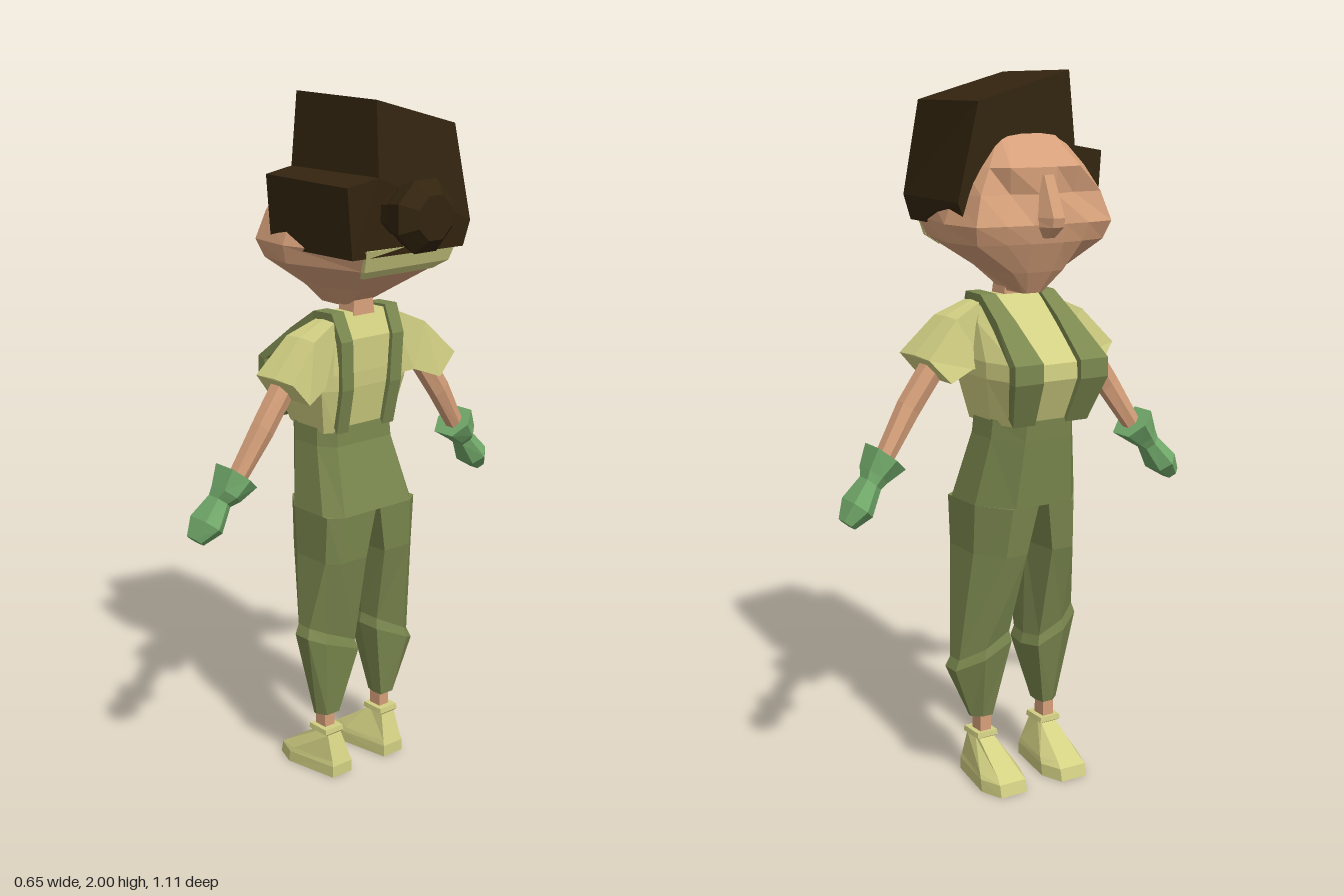
import * as THREE from 'three';

const mat = (name, color) => {
  const m = new THREE.MeshStandardMaterial({ color });
  m.name = name;
  return m;
};

// Faceted skin through rings of equal point count, closed at both ends.
function loft(name, material, rings) {
  const tris = [], n = rings[0].length;
  for (let r = 0; r < rings.length - 1; r++) {
    for (let i = 0; i < n; i++) {
      const j = (i + 1) % n, a = rings[r], b = rings[r + 1];
      tris.push([a[i], a[j], b[j]], [a[i], b[j], b[i]]);
    }
  }
  const first = rings[0], last = rings[rings.length - 1];
  for (let i = 1; i < n - 1; i++) {
    tris.push([first[0], first[i + 1], first[i]], [last[0], last[i], last[i + 1]]);
  }
  // Turn all faces outward using the signed volume.
  let volume = 0;
  for (const [a, b, c] of tris) {
    volume += a[0] * (b[1] * c[2] - b[2] * c[1]) + a[1] * (b[2] * c[0] - b[0] * c[2]) + a[2] * (b[0] * c[1] - b[1] * c[0]);
  }
  if (volume < 0) tris.forEach((t) => t.reverse());
  const g = new THREE.BufferGeometry();
  g.setAttribute('position', new THREE.Float32BufferAttribute(tris.flat(2), 3));
  g.computeVertexNormals();
  const mesh = new THREE.Mesh(g, material);
  mesh.name = name;
  return mesh;
}

// Horizontal ring mirrored in z from half its [x, z] points.
const mirrorRing = (y, half) => [
  ...half.map(([x, z]) => [x, y, z]),
  ...half.slice().reverse().map(([x, z]) => [x, y, -z]),
];

// Ring across a limb in the zy plane, with half thickness t and half width w.
const limbRing = (s, x, y, z, t, w, dir = [0.76, 0.65]) =>
  [[1, 0], [0.6, 1], [-0.6, 1], [-1, 0], [-0.6, -1], [0.6, -1]].map(([a, b]) =>
    [x + a * w, y + b * t * dir[1], s * (z + b * t * dir[0])]);

export function createModel() {
  const hair = mat('dark brown hair', 0x33240f);
  const skin = mat('skin', 0xd6a07a);
  const cloth = mat('pale yellow cloth', 0xd2d083);
  const olive = mat('olive overalls', 0x7b884f);
  const green = mat('green gloves', 0x72a96a);
  const model = new THREE.Group();
  model.name = 'figure';
  const add = (...args) => model.add(loft(...args));

  // Head, facing -x
  add('head', skin, [
    mirrorRing(1.84, [[-0.165, 0.03], [-0.16, 0.07], [-0.15, 0.09], [-0.1, 0.1], [0.1, 0.08]]),
    mirrorRing(1.75, [[-0.25, 0.03], [-0.24, 0.11], [-0.2, 0.15], [-0.1, 0.17], [0.12, 0.14]]),
    mirrorRing(1.68, [[-0.25, 0.025], [-0.222, 0.1], [-0.222, 0.19], [-0.1, 0.2], [0.14, 0.15]]),
    mirrorRing(1.6, [[-0.262, 0.05], [-0.255, 0.13], [-0.24, 0.215], [-0.1, 0.23], [0.165, 0.16]]),
    mirrorRing(1.55, [[-0.25, 0.05], [-0.24, 0.12], [-0.22, 0.2], [-0.1, 0.22], [0.14, 0.15]]),
    mirrorRing(1.47, [[-0.215, 0.04], [-0.205, 0.08], [-0.17, 0.1], [-0.1, 0.1], [0.03, 0.06]]),
    mirrorRing(1.41, [[-0.182, 0.02], [-0.178, 0.03], [-0.165, 0.03], [-0.14, 0.03], [-0.07, 0.03]]),
  ]);
  add('nose', skin, [
    mirrorRing(1.73, [[-0.255, 0.015], [-0.23, 0.025]]),
    mirrorRing(1.62, [[-0.305, 0.018], [-0.24, 0.045]]),
    mirrorRing(1.595, [[-0.3, 0.018], [-0.24, 0.045]]),
    mirrorRing(1.565, [[-0.265, 0.012], [-0.23, 0.03]]),
  ]);
  add('neck', skin, [
    mirrorRing(1.47, [[-0.095, 0.03], [-0.035, 0.03]]),
    mirrorRing(1.38, [[-0.095, 0.04], [-0.03, 0.04]]),
  ]);
  add('napeBand', cloth, [[1.61, 0.171, 0.163], [1.55, 0.147, 0.153], [1.525, 0.112, 0.125]].map(
    ([y, x, z]) => mirrorRing(y, [[x, z], [x - 0.014, z]])));

  // Lopsided block of hair with a step on one side
  add('hairBlock', hair, [
    [[-0.17, 1.8, 0.14], [-0.17, 2, 0.119], [-0.17, 1.92, -0.165], [-0.17, 1.66, -0.228],
      [-0.17, 1.59, -0.2], [-0.17, 1.59, 0.214], [-0.17, 1.785, 0.228]],
    [[0.178, 1.8, 0.13], [0.153, 1.995, 0.115], [0.158, 1.92, -0.16], [0.188, 1.66, -0.193],
      [0.18, 1.59, -0.175], [0.16, 1.59, 0.205], [0.163, 1.78, 0.224]],
  ]);
  const bun = [[0.17, 0.06], [0.2, 0.065], [0.225, 0.083], [0.283, 0.102], [0.322, 0.062]];
  add('hairBun', hair, bun.map(([x, r]) => Array.from({ length: 8 }, (_, i) => {
    const a = (i + 0.5) * Math.PI / 4;
    return [x, 1.707 + r * Math.sin(a), 0.062 + r * Math.cos(a)];
  })));

  // Shirt: height, front x, back x, half width
  add('shirt', cloth, [
    [1.4, -0.1, -0.035, 0.105], [1.33, -0.19, -0.005, 0.135], [1.235, -0.308, -0.008, 0.155],
    [1.19, -0.31, -0.012, 0.155], [1.06, -0.255, -0.037, 0.128],
  ].map(([y, f, b, w]) => mirrorRing(y,
    [[f, 0.06], [f + 0.015, w * 0.8], [f * 0.6 + b * 0.4, w], [b - 0.02, w], [b, w * 0.75]])));

  // Trouser top: waist to hips
  add('overallsHips', olive, [
    [1.075, -0.265, -0.033, 0.13], [1.02, -0.26, -0.03, 0.134], [0.83, -0.24, 0.03, 0.165],
  ].map(([y, f, b, w]) => mirrorRing(y,
    [[f, w * 0.55], [f * 0.65 + b * 0.35, w], [b - 0.05, w], [b, w * 0.75]])));

  // Strap path: x, y, centre z, half width
  const strap = [
    [-0.025, 1.06, 0.085, 0.021], [0.004, 1.19, 0.088, 0.021], [0.008, 1.33, 0.094, 0.021],
    [-0.028, 1.408, 0.098, 0.022], [-0.105, 1.405, 0.096, 0.024], [-0.2, 1.342, 0.098, 0.03],
    [-0.325, 1.242, 0.104, 0.045], [-0.326, 1.19, 0.104, 0.045], [-0.27, 1.065, 0.085, 0.035],
  ];

  for (const s of [1, -1]) {
    const side = s > 0 ? 'left' : 'right';
    const addSide = (part, material, rings) => add(side + part, material, rings);

    addSide('Strap', olive, strap.map(([x, y, z, w]) => {
      const d = new THREE.Vector2(-0.12 - x, 1.2 - y).setLength(0.03);
      return [[x, y, s * (z - w)], [x, y, s * (z + w)],
        [x + d.x, y + d.y, s * (z + w)], [x + d.x, y + d.y, s * (z - w)]];
    }));

    // Sleeve: top y, top z, bottom y, bottom z, front x, back x
    addSide('Sleeve', cloth, [
      [1.397, 0.09, 1.2, 0.1, -0.11, -0.025], [1.345, 0.205, 1.21, 0.165, -0.14, 0.0],
      [1.245, 0.3, 1.18, 0.243, -0.157, 0.026],
    ].map(([ty, tz, by, bz, f, b]) => {
      const m = f * 0.45 + b * 0.55;
      return [[f + 0.02, ty, s * tz], [m, ty + 0.004, s * tz], [b, ty, s * tz],
        [b, by, s * bz], [f, by, s * bz]];
    }));
    addSide('Arm', skin, [
      limbRing(s, -0.075, 1.25, 0.23, 0.03, 0.032),
      limbRing(s, -0.073, 1.11, 0.33, 0.03, 0.028),
      limbRing(s, -0.085, 0.98, 0.415, 0.022, 0.025),
    ]);
    addSide('Glove', green, [
      limbRing(s, -0.09, 0.99, 0.41, 0.053, 0.064),
      limbRing(s, -0.09, 0.945, 0.447, 0.034, 0.05),
      limbRing(s, -0.1, 0.925, 0.462, 0.026, 0.036),
      limbRing(s, -0.105, 0.865, 0.505, 0.035, 0.06),
      limbRing(s, -0.11, 0.825, 0.54, 0.02, 0.028),
    ]);

    // Leg: outer y, inner y, front x, back x, inner z, outer z; the knee folds slant
    const k = s > 0 ? [0.45, 0.38, 0.02, 0.195] : [0.345, 0.43, 0.035, 0.21];
    addSide('TrouserLeg', olive, [
      [0.83, 0.83, -0.24, 0.03, 0, 0.165], [0.69, 0.69, -0.222, 0.02, 0.028, 0.165],
      [k[0] + 0.03, k[1] + 0.03, -0.155, -0.033, k[2] + 0.008, k[3] - 0.012],
      [k[0], k[1], -0.16, -0.025, k[2], k[3]],
      [0.19, 0.19, -0.112, -0.05, 0.08, 0.146],
    ].map(([oy, iy, f, b, zi, zo]) => {
      const at = (x, t) => [x, iy + (oy - iy) * t, s * (zi + (zo - zi) * t)];
      return [at(f, 0.1), at(f, 0.6), at(f * 0.65 + b * 0.35, 1), at(b - 0.03, 1), at(b, 0.75), at(b, 0.05), at(f * 0.5 + b * 0.5, 0)];
    }));
    addSide('Ankle', skin, [0.2, 0.12].map((y) =>
      [[-0.108, 0.09], [-0.108, 0.126], [-0.064, 0.126], [-0.064, 0.09]].map(([x, z]) => [x, y, s * z])));

    // Shoe: y, toe x, heel x, toe inner/outer z, heel inner/outer z
    addSide('Shoe', cloth, [
      [0, -0.253, -0.015, 0.06, 0.145, 0.065, 0.138],
      [0.035, -0.245, -0.015, 0.06, 0.145, 0.065, 0.138],
      [0.05, -0.225, -0.02, 0.065, 0.14, 0.068, 0.135],
      [0.125, -0.112, -0.045, 0.082, 0.132, 0.082, 0.132],
      [0.13, -0.12, -0.042, 0.074, 0.142, 0.074, 0.142],
      [0.145, -0.118, -0.044, 0.076, 0.14, 0.076, 0.14],
    ].map(([y, t, h, ti, to, hi, ho], i) => {
      const bulge = i < 3 ? 0.024 : 0.001, ball = t * 0.72 + h * 0.28;
      return [[t, y, s * ti], [t, y, s * to], [ball, y, s * (to + bulge)], [h, y, s * ho],
        [h, y, s * hi], [ball, y, s * (ti - bulge)]];
    }));
  }
  return model;
}
